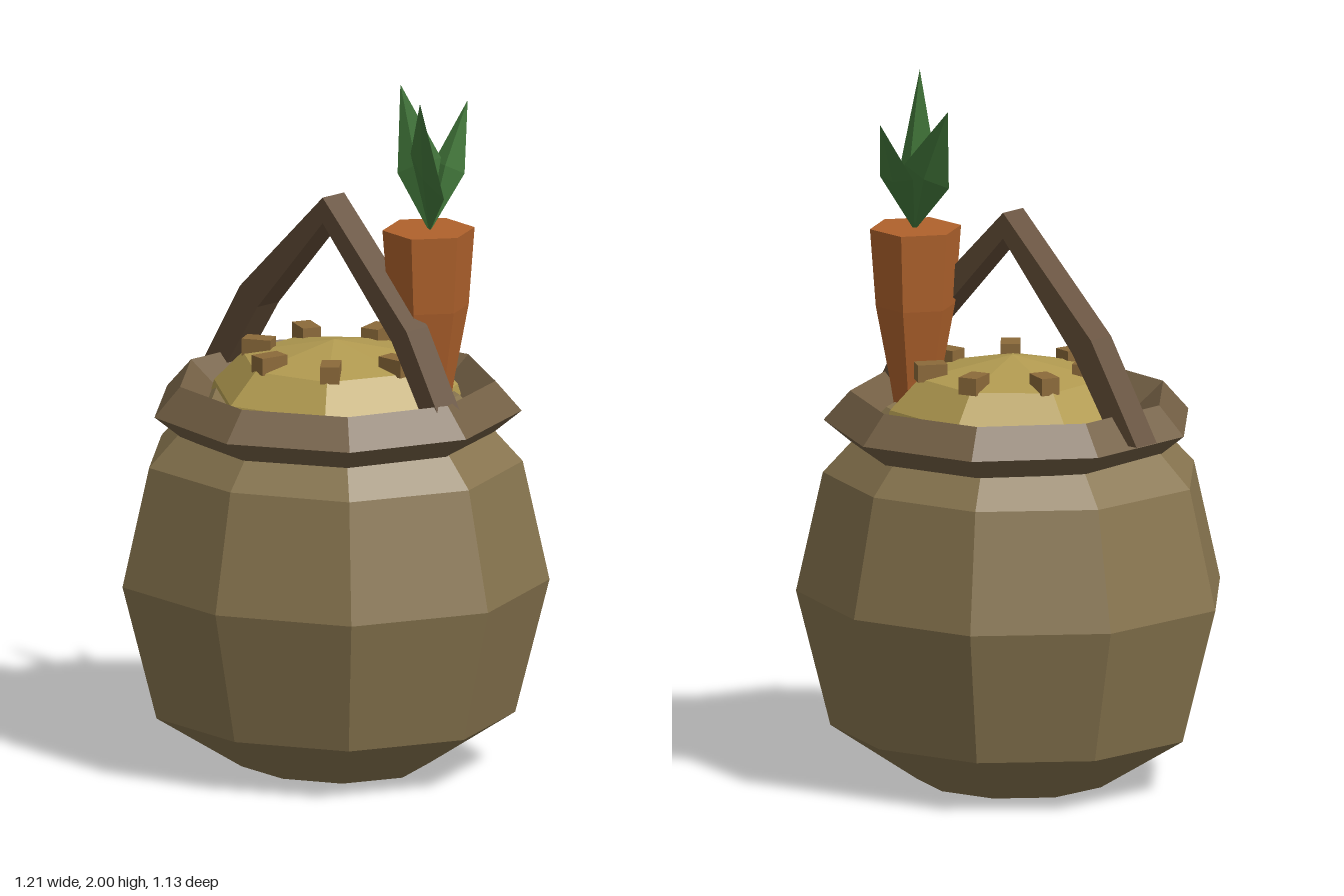
import * as THREE from 'three';
import { ConvexGeometry } from 'three/addons/geometries/ConvexGeometry.js';

const material = (color) => new THREE.MeshStandardMaterial({ color, flatShading: true, side: THREE.DoubleSide });
const WOOD = material(0x88754f), RIM = material(0x746045), HANDLE = material(0x644e38);
const GRAIN = material(0xb19a50), CHUNK = material(0x8c6a3a), CARROT = material(0xb0622c), LEAF = material(0x447a3c);

function add(parent, name, geometry, mat, x = 0, y = 0, z = 0) {
  const mesh = new THREE.Mesh(geometry, mat);
  mesh.name = name;
  mesh.position.set(x, y, z);
  parent.add(mesh);
  return mesh;
}

// Regular outline of unit radius, running from +x towards +z
function polygon(sides, startDegrees = 0) {
  return Array.from({ length: sides }, (_, i) => {
    const a = THREE.MathUtils.degToRad(startDegrees) + (i / sides) * Math.PI * 2;
    return [Math.cos(a), Math.sin(a)];
  });
}

// Skin over one outline scaled to each ring [scale, y]; a scale of 0 closes an end
function loft(outline, rings) {
  const positions = [];
  const n = outline.length;
  const corner = ([s, y], j) => [outline[j % n][0] * s, y, outline[j % n][1] * s];
  for (let i = 0; i < rings.length - 1; i++) {
    const low = rings[i], high = rings[i + 1];
    for (let j = 0; j < n; j++) {
      if (high[0] > 0) positions.push(...corner(low, j), ...corner(high, j), ...corner(high, j + 1));
      if (low[0] > 0) positions.push(...corner(low, j), ...corner(high, j + 1), ...corner(low, j + 1));
    }
  }
  const geometry = new THREE.BufferGeometry();
  geometry.setAttribute('position', new THREE.Float32BufferAttribute(positions, 3));
  geometry.computeVertexNormals();
  return geometry;
}

// Thin folded diamond leaf from base to tip with two side corners
function leaf(base, tip, sideA, sideB) {
  const [p, t, a, b] = [base, tip, sideA, sideB].map((v) => new THREE.Vector3(...v));
  const normal = t.clone().sub(p).cross(b.clone().sub(a)).normalize();
  const middle = a.clone().add(b).multiplyScalar(0.5);
  const ridges = [0.018, -0.018].map((d) => middle.clone().addScaledVector(normal, d));
  return new ConvexGeometry([p, t, a, b, ...ridges]);
}

export function createModel() {
  const model = new THREE.Group();
  model.name = 'barrelBasket';

  // Slightly uneven nine-sided barrel
  const barrelOutline = [
    [0.61, -0.01], [0.45, 0.375], [0.09, 0.562], [-0.32, 0.53], [-0.595, 0.205],
    [-0.57, -0.21], [-0.295, -0.5], [0.09, -0.565], [0.46, -0.4],
  ];
  add(model, 'barrel', loft(barrelOutline, [
    [0, 0], [0.44, 0], [0.84, 0.155], [1, 0.545], [0.875, 0.89], [0.71, 1.0], [0.58, 1.08], [0, 1.08],
  ]), WOOD, -0.01);

  // Diamond-section rim
  add(model, 'rim', loft(polygon(9), [
    [0.45, 0.975], [0.53, 1.04], [0.455, 1.125], [0.37, 1.05], [0.45, 0.975],
  ]), RIM, -0.008);

  // Mound of grain
  add(model, 'grain', loft(polygon(7, -3), [
    [0.37, 1.04], [0.355, 1.09], [0.27, 1.178], [0, 1.235],
  ]), GRAIN, -0.015);

  // Ring of chunks on the mound
  const chunks = new THREE.Group();
  chunks.name = 'chunks';
  model.add(chunks);
  polygon(7, -3).forEach(([x, z]) => {
    const chunk = add(chunks, 'chunk', new THREE.BoxGeometry(0.085, 0.05, 0.055), CHUNK, -0.01 + x * 0.23, 1.197, z * 0.23 - 0.005);
    chunk.rotation.y = -Math.atan2(z, x);
  });

  // Bent handle
  const arch = new THREE.Shape([
    [-0.53, 1.05], [-0.44, 1.05], [-0.285, 1.285], [-0.02, 1.58], [0.26, 1.285], [0.40, 1.06],
    [0.475, 1.06], [0.32, 1.325], [-0.02, 1.655], [-0.355, 1.335],
  ].map(([x, y]) => new THREE.Vector2(x, y)));
  add(model, 'handle', new THREE.ExtrudeGeometry(arch, { depth: 0.085, bevelEnabled: false }), HANDLE, 0, 0, -0.045);

  // Carrot
  add(model, 'carrot', loft(polygon(6, 6), [
    [0, 1.02], [0.06, 1.06], [0.075, 1.15], [0.115, 1.36], [0.132, 1.585], [0, 1.585],
  ]), CARROT, 0.248, 0, -0.118);

  // Carrot leaves: tip and two side corners each
  const leaves = new THREE.Group();
  leaves.name = 'carrotLeaves';
  model.add(leaves);
  [
    [[0.06, 1.96, -0.19], [0.11, 1.72, -0.13], [0.235, 1.78, -0.18]],
    [[0.365, 2.0, 0.03], [0.36, 1.7, -0.07], [0.255, 1.82, -0.04]],
    [[0.21, 1.92, -0.31], [0.3, 1.74, -0.21], [0.17, 1.75, -0.215]],
  ].forEach((points) => add(leaves, 'carrotLeaf', leaf([0.25, 1.575, -0.12], ...points), LEAF));

  return model;
}
